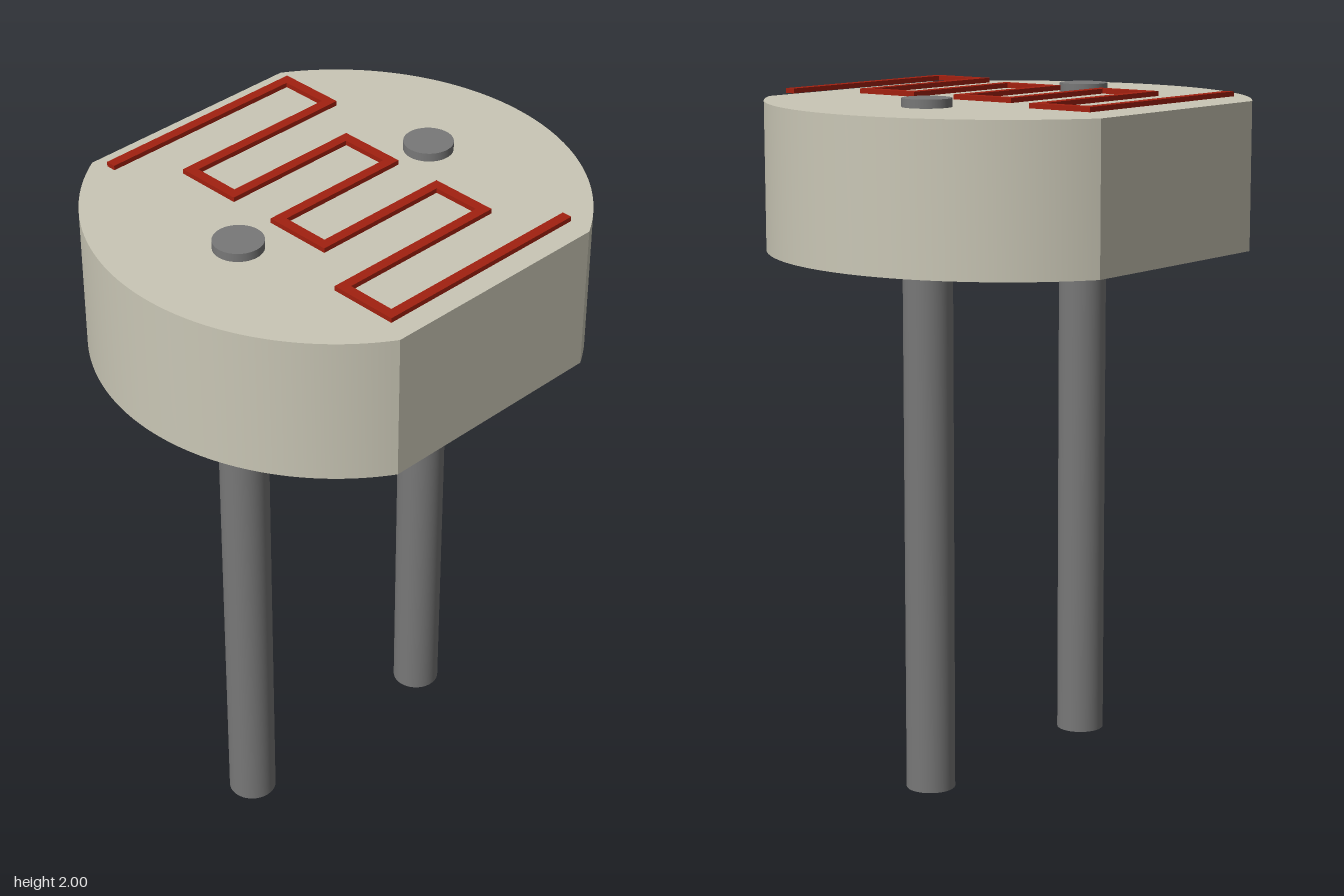
import * as THREE from 'three';
import { toCreasedNormals } from 'three/addons/utils/BufferGeometryUtils.js';

const mat = (name, color) => {
  const m = new THREE.MeshStandardMaterial({ color });
  m.name = name;
  return m;
};

export function createModel() {
  const ceramic = mat('ceramic beige', 0xcac7b6);
  const metal = mat('lead grey', 0x787878);
  const red = mat('track red', 0xa22010);
  const model = new THREE.Group();
  model.name = 'lightSensor';

  const add = (name, geometry, material, x = 0, y = 0, z = 0, parent = model) => {
    const mesh = new THREE.Mesh(geometry, material);
    mesh.name = name;
    mesh.position.set(x, y, z);
    parent.add(mesh);
    return mesh;
  };

  // Round disc with flats at the front and back
  const radius = 0.7, bottom = 1.545, top = 1.975;
  const a = Math.asin(0.6 / radius);
  const outline = new THREE.Shape();
  outline.absarc(0, 0, radius, -a, a, false);
  outline.absarc(0, 0, radius, Math.PI - a, Math.PI + a, false);
  outline.closePath();
  const disc = new THREE.ExtrudeGeometry(outline, { depth: top - bottom, bevelEnabled: false, curveSegments: 40 });
  disc.rotateX(-Math.PI / 2);
  add('body', toCreasedNormals(disc, 0.4), ceramic, 0, bottom, 0);

  // Red underside
  const underside = new THREE.ShapeGeometry(outline, 40);
  underside.rotateX(Math.PI / 2);
  add('underside', underside, red, 0, bottom - 0.002, 0);

  // Leads pass through the disc; their lower ends are red
  for (const side of [-1, 1]) {
    add(side > 0 ? 'leftLead' : 'rightLead',
      new THREE.CylinderGeometry(0.071, 0.071, 2, 48), [metal, metal, red], side * 0.362, 1, 0);
  }

  // Zigzag track: rows run between successive turn positions
  const track = new THREE.Group();
  track.name = 'track';
  model.add(track);
  const turns = [-0.339, 0.317, -0.215, 0.212, -0.215, 0.212, -0.319, 0.336];
  const pitch = 0.1757, width = 0.03, thick = 0.014, y = 2 - thick / 2;
  for (let i = 0; i < 7; i++) {
    const from = turns[i], to = turns[i + 1], z = (i - 3) * pitch;
    add('trackRow', new THREE.BoxGeometry(Math.abs(to - from) + width, thick, width), red, (from + to) / 2, y, z, track);
    if (i < 6) add('trackTurn', new THREE.BoxGeometry(width, thick, pitch - width), red, to, y, z + pitch / 2, track);
  }
  return model;
}
